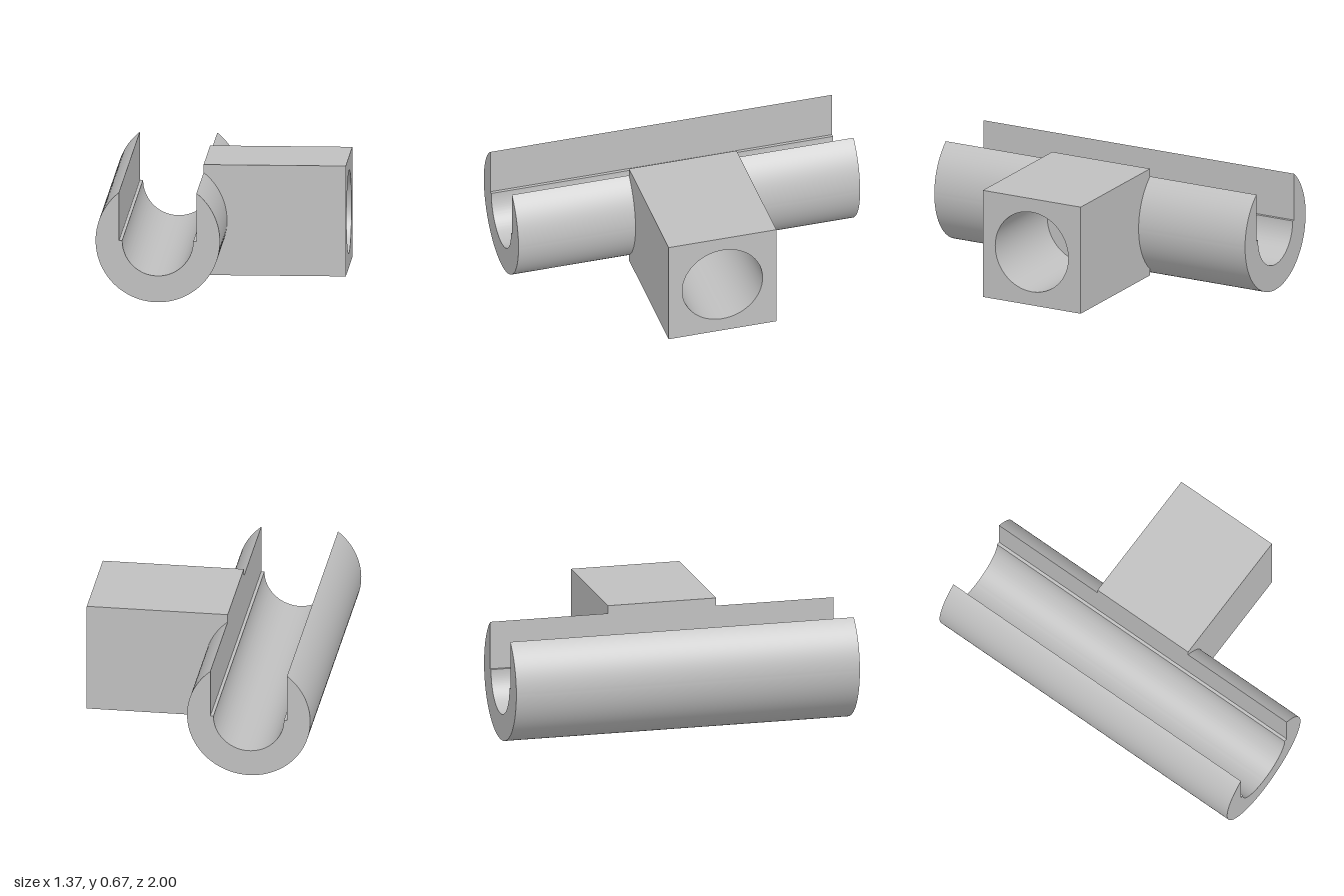
import * as THREE from 'three';
import { toCreasedNormals } from 'three/addons/utils/BufferGeometryUtils.js';

const metal = new THREE.MeshStandardMaterial({ color: 0xc0c0c0 });
metal.name = 'light grey';

const AXIS_X = -0.335, AXIS_Y = 0.35;   // tube axis
const OUTER = 0.35, BORE = 0.2, SLOT = 0.218, LENGTH = 2;
const BLOCK_BACK = AXIS_X + SLOT, BLOCK_FRONT = 0.684, BLOCK_HALF = 0.315, BLOCK_Y = 0.354;
const HOLE = 0.235, HOLE_DEPTH = 0.6;

function addPart(group, name, geometry) {
  const mesh = new THREE.Mesh(geometry, metal);
  mesh.name = name;
  group.add(mesh);
  return mesh;
}

function extrude(shape, depth) {
  const geometry = new THREE.ExtrudeGeometry(shape, { depth, bevelEnabled: false, curveSegments: 64 });
  return toCreasedNormals(geometry, 0.4);
}

export function createModel() {
  const model = new THREE.Group();
  model.name = 'slottedTubeMount';

  // Tube with a round bore, opened at the top by a slightly wider slot
  const lip = Math.acos(SLOT / OUTER);
  const profile = new THREE.Shape();
  profile.absarc(0, 0, OUTER, lip, Math.PI - lip, true);
  profile.lineTo(-SLOT, 0);
  profile.lineTo(-BORE, 0);
  profile.absarc(0, 0, BORE, Math.PI, Math.PI * 2, false);
  profile.lineTo(SLOT, 0);
  const tube = addPart(model, 'slottedTube', extrude(profile, LENGTH));
  tube.position.set(AXIS_X, AXIS_Y, -LENGTH / 2);

  // Square side block, flush with the slot wall, with a round socket
  const square = new THREE.Shape();
  square.moveTo(-BLOCK_HALF, -BLOCK_HALF);
  square.lineTo(BLOCK_HALF, -BLOCK_HALF);
  square.lineTo(BLOCK_HALF, BLOCK_HALF);
  square.lineTo(-BLOCK_HALF, BLOCK_HALF);
  square.closePath();
  square.holes.push(new THREE.Path().absarc(0, 0, HOLE, 0, Math.PI * 2, true));
  const block = addPart(model, 'sideBlock', extrude(square, BLOCK_FRONT - BLOCK_BACK));
  block.rotation.y = Math.PI / 2;
  block.position.set(BLOCK_BACK, BLOCK_Y, 0);

  // Flat floor of the blind socket
  const floor = addPart(model, 'socketFloor', new THREE.CircleGeometry(HOLE, 64));
  floor.rotation.y = Math.PI / 2;
  floor.position.set(BLOCK_FRONT - HOLE_DEPTH, BLOCK_Y, 0);

  return model;
}
